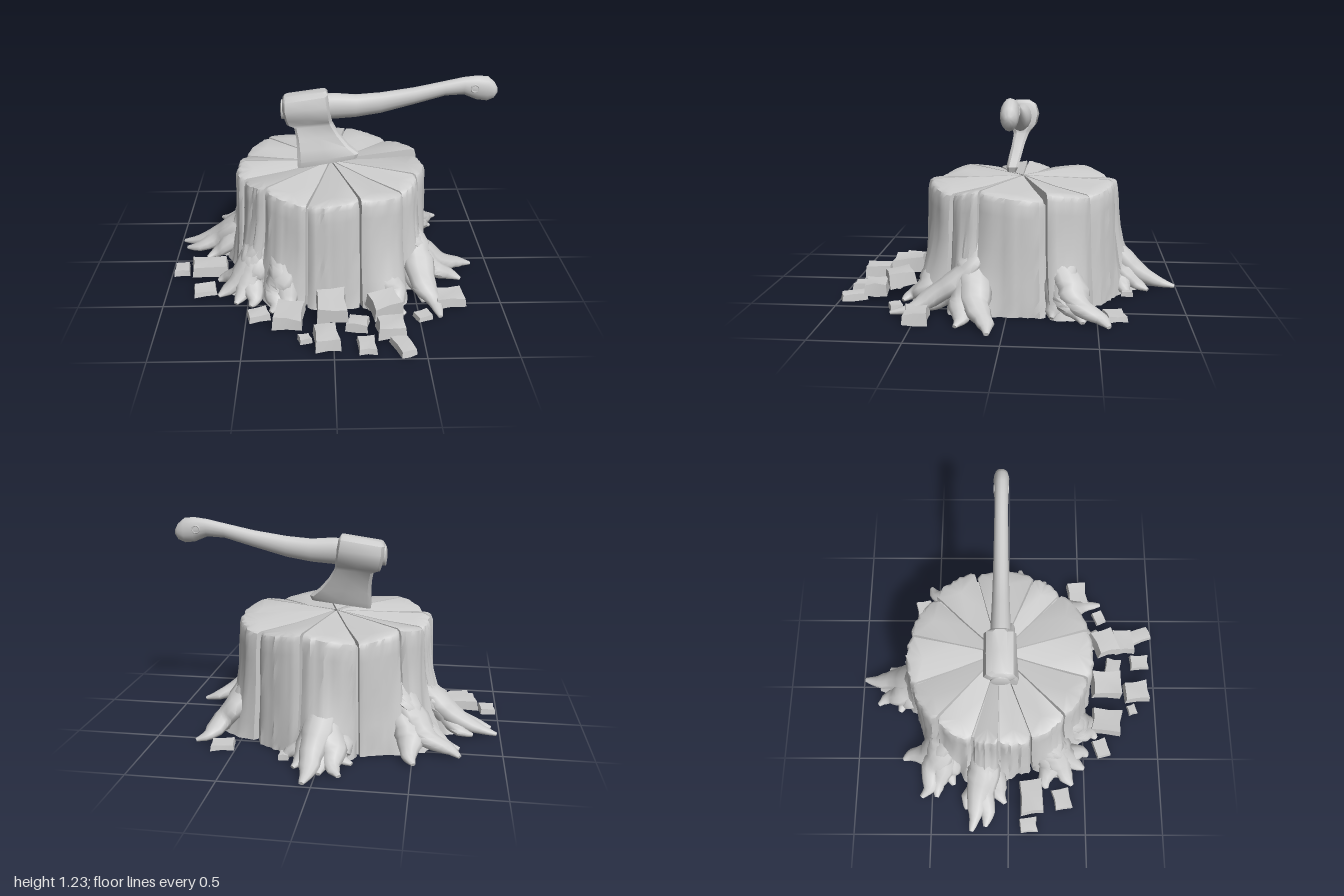
import * as THREE from 'three';
import { toCreasedNormals } from 'three/addons/utils/BufferGeometryUtils.js';

const V = (x, y, z) => new THREE.Vector3(x, y, z);
const CENTRE_Z = -0.055;

// Roots: base x, z, swell of the stump foot, then finger tips x, z
const ROOTS = [
  [0, -0.6, 0.15, [[0.05, -0.99], [-0.13, -0.89], [-0.02, -0.88], [0.13, -0.82], [-0.18, -0.74], [0.2, -0.7]]],
  [-0.44, -0.41, 0.13, [[-0.51, -0.7], [-0.76, -0.57], [-0.76, -0.47], [-0.68, -0.36]]],
  [-0.55, -0.15, 0.18, [[-0.98, -0.24], [-0.95, -0.15], [-0.8, -0.02], [-0.84, -0.27]]],
  [-0.45, 0.27, 0.15, [[-0.68, 0.42], [-0.7, 0.25], [-0.57, 0.5], [-0.48, 0.53]]],
  [-0.28, 0.4, 0.08, [[-0.36, 0.59], [-0.25, 0.6]]],
  [0.28, 0.39, 0.12, [[0.42, 0.62], [0.32, 0.62], [0.22, 0.58]]],
  [0.5, 0.2, 0.12, [[0.89, 0.08], [0.8, 0.26], [0.62, 0.65], [0.54, 0.5]]],
  [0.5, -0.3, 0.09, [[0.75, -0.56], [0.7, -0.42], [0.64, -0.25]]],
];

// Small repeatable noise in -1..1
const noise = (a, b = 0, c = 0) => {
  const s = Math.sin(a * 127.1 + b * 311.7 + c * 74.7) * 43758.5453;
  return (s - Math.floor(s)) * 2 - 1;
};

// Swelling of the stump foot towards each root
function swell(a, y) {
  const rise = Math.max(0, 1 - y / 0.58) ** 2.2;
  return rise * Math.max(...ROOTS.map(([x, z, amount]) => {
    const d = a - Math.atan2(z - CENTRE_Z, x);
    const turn = Math.atan2(Math.sin(d), Math.cos(d)) / 0.21;
    return amount * Math.exp(-turn * turn);
  }));
}

// Skin a list of closed rings, cap both ends, and turn the faces outward
function loft(rings, crease) {
  const n = rings[0].length, pos = [], idx = [];
  rings.forEach(r => r.forEach(p => pos.push(p.x, p.y, p.z)));
  for (let i = 0; i < rings.length - 1; i++)
    for (let j = 0; j < n; j++) {
      const a = i * n + j, b = i * n + (j + 1) % n;
      idx.push(a, a + n, b, b, a + n, b + n);
    }
  [0, rings.length - 1].forEach((r, end) => {
    const c = rings[r].reduce((s, p) => s.add(p), V(0, 0, 0)).divideScalar(n);
    const k = pos.length / 3;
    pos.push(c.x, c.y, c.z);
    for (let j = 0; j < n; j++) {
      const a = r * n + j, b = r * n + (j + 1) % n;
      idx.push(k, end ? b : a, end ? a : b);
    }
  });
  const at = i => V(pos[3 * i], pos[3 * i + 1], pos[3 * i + 2]);
  let volume = 0;
  for (let i = 0; i < idx.length; i += 3)
    volume += at(idx[i]).dot(at(idx[i + 1]).cross(at(idx[i + 2])));
  if (volume < 0) idx.reverse();
  const g = new THREE.BufferGeometry();
  g.setAttribute('position', new THREE.Float32BufferAttribute(pos, 3));
  g.setIndex(idx);
  return toCreasedNormals(g, crease);
}

// One split wedge of the stump between two angles (degrees), its top sloping to one side
function wedge(a0, a1, k) {
  const levels = [[0, 1.04], [0.04, 1.035], [0.1, 1.03], [0.18, 1.02], [0.28, 1.01], [0.38, 1.005],
    [0.48, 1], [0.58, 0.995], [0.65, 0.988], [0.68, 0.972], [0.69, 0.94]];
  const mid = (a0 + a1) / 2, half = (a1 - a0) / 2 - 0.8, n = 12;
  const R = 0.582 + 0.012 * noise(k, 3), slope = k % 2 ? 1 : -1;
  return loft(levels.map(([y, s], l) => {
    const ring = [];
    const point = (r, u) => {
      const a = (mid + u * half) * Math.PI / 180;
      const drop = l > 6 ? 0.02 * (1 + slope * u) * Math.min(1, r / 0.4) : 0;
      const out = r > 0.4 ? r + swell(a, y) : r;
      ring.push(V(Math.cos(a) * out, y - drop, CENTRE_Z + Math.sin(a) * out));
    };
    point(0.015, 0);
    point(0.28, -1);
    for (let j = 0; j <= n; j++) {
      const u = j / n * 2 - 1;
      const bark = 0.006 * noise(k, j) + 0.003 * noise(k, j, l);
      point(R * s * (1 - 0.03 * u ** 6) + bark, u);
    }
    point(0.28, 1);
    return ring;
  }), 0.75);
}

// One root finger leaving the swollen foot and running out along the ground
function rootFinger(bx, bz, tx, tz, k) {
  const B = V(bx, 0, bz), T = V(tx, 0, tz);
  const out = V(bx, 0, bz - CENTRE_Z).normalize();
  const mix = (t, y) => B.clone().lerp(T, t).setY(y);
  const bend = V(-out.z, 0, out.x).multiplyScalar(0.025 * noise(k, 5));
  const path = new THREE.CatmullRomCurve3([
    B.clone().addScaledVector(out, -0.05).setY(0.42), B.clone().setY(0.28),
    mix(0.22, 0.17), mix(0.48, 0.085).add(bend), mix(0.77, 0.035).sub(bend), mix(1, 0.015)]);
  const widths = [0.05, 0.085, 0.095, 0.075, 0.045, 0.014];
  const thick = [0.03, 0.05, 0.065, 0.055, 0.03, 0.01];
  const pick = (list, t) => {
    const i = Math.min(4, Math.floor(t * 5));
    return THREE.MathUtils.lerp(list[i], list[i + 1], t * 5 - i);
  };
  const rings = [];
  for (let i = 0; i <= 15; i++) {
    const t = i / 15, c = path.getPoint(t), d = path.getTangent(t);
    const side = V(d.z, 0, -d.x).normalize(), up = d.clone().cross(side).normalize();
    const w = pick(widths, t) * (1 + 0.1 * noise(i, k)), h = pick(thick, t);
    rings.push(Array.from({ length: 10 }, (_, j) => {
      const a = j / 10 * Math.PI * 2;
      const p = c.clone().addScaledVector(side, Math.cos(a) * w).addScaledVector(up, Math.sin(a) * h);
      return p.setY(Math.max(0, p.y));
    }));
  }
  return loft(rings, 1);
}

// A rough chip of wood with slightly pinched sides
function chip(w, h, d, k) {
  const g = new THREE.BoxGeometry(w, h, d, 2, 1, 2), p = g.attributes.position;
  for (let i = 0; i < p.count; i++) {
    const sx = Math.sign(Math.round(p.getX(i) * 1e4)), sz = Math.sign(Math.round(p.getZ(i) * 1e4));
    const sy = Math.sign(p.getY(i)), corner = sx && sz;
    const f = (corner ? 0.96 : 0.9) + 0.07 * noise(sx + k, sz) - (sy > 0 ? 0.08 : 0);
    p.setXYZ(i, p.getX(i) * f, p.getY(i) * (1 + 0.2 * noise(sx, sz, k)), p.getZ(i) * f);
  }
  return toCreasedNormals(g, 0.5);
}

export function createModel() {
  const model = new THREE.Group();
  const grey = new THREE.MeshStandardMaterial({ color: 0xcccccc });
  grey.name = 'plain grey';
  const group = name => {
    const g = new THREE.Group();
    g.name = name;
    model.add(g);
    return g;
  };
  const add = (parent, name, geometry) => {
    const m = new THREE.Mesh(geometry, grey);
    m.name = name;
    parent.add(m);
    return m;
  };

  // Stump: split wedges around a lower core
  const stump = group('stump');
  const cuts = [-16, 23, 43, 74, 105, 135, 160, 180, 197, 222, 250, 282, 314, 344];
  for (let i = 0; i < cuts.length - 1; i++) add(stump, 'stumpWedge', wedge(cuts[i], cuts[i + 1], i));
  add(stump, 'stumpCore', new THREE.CylinderGeometry(0.53, 0.57, 0.62, 40)).position.set(0, 0.31, CENTRE_Z);

  const roots = group('roots');
  ROOTS.forEach(([bx, bz, , tips], r) => tips.forEach(([tx, tz], i) =>
    add(roots, 'rootFinger', rootFinger(bx, bz, tx, tz, r * 7 + i))));

  // Wood chips: x, z, width, depth, bottom, height, turn
  const chips = group('woodChips');
  [
    [-0.94, 0.13, 0.1, 0.12, 0, 0.04, 0.1], [-0.76, 0.15, 0.24, 0.16, 0.02, 0.06, 0.08],
    [-0.77, 0.35, 0.14, 0.12, 0, 0.03, 0.2], [-0.43, 0.62, 0.13, 0.1, 0, 0.04, 0.3],
    [-0.25, 0.66, 0.17, 0.21, 0.01, 0.07, -0.12], [-0.01, 0.66, 0.18, 0.21, 0.06, 0.09, 0.04],
    [-0.04, 0.87, 0.14, 0.17, 0.01, 0.07, 0.12], [-0.16, 0.84, 0.07, 0.06, 0, 0.03, 0.3],
    [0.14, 0.72, 0.13, 0.11, 0, 0.05, -0.2], [0.29, 0.66, 0.18, 0.16, 0.07, 0.08, 0.35],
    [0.32, 0.8, 0.17, 0.14, 0.02, 0.07, 0.1], [0.18, 0.91, 0.1, 0.13, 0, 0.04, 0.05],
    [0.38, 0.92, 0.1, 0.16, 0, 0.04, 0.35], [0.69, 0.49, 0.18, 0.14, 0, 0.06, 0.1],
    [0.52, 0.64, 0.1, 0.08, 0, 0.03, 0.4], [0.58, -0.6, 0.14, 0.12, 0, 0.03, 0.2],
    [0.2, -0.69, 0.06, 0.07, 0, 0.03, 0],
  ].forEach(([x, z, w, d, y, h, turn], k) => {
    const m = add(chips, 'woodChip', chip(w, h, d, k + 1));
    m.position.set(x, y + h * 0.6, z);
    m.rotation.set(y > 0.05 ? 0.12 : 0, turn, 0);
  });

  // Axe head: left y, right y, left x, right x, left z, right z, half thickness
  const axe = group('axe');
  const head = [
    [1.115, 1.15, -0.275, -0.03, -0.048, -0.048, 0.04], [1.09, 1.13, -0.288, -0.018, -0.048, -0.048, 0.075],
    [1.04, 1.07, -0.288, -0.008, -0.047, -0.047, 0.092], [0.98, 1.0, -0.275, 0.002, -0.045, -0.045, 0.08],
    [0.94, 0.965, -0.262, 0.006, -0.042, -0.042, 0.052], [0.925, 0.945, -0.22, 0.01, -0.036, -0.04, 0.044],
    [0.86, 0.88, -0.207, 0.05, -0.012, -0.025, 0.038], [0.79, 0.81, -0.203, 0.11, 0.012, -0.01, 0.036],
    [0.72, 0.765, -0.203, 0.168, 0.03, 0, 0.034], [0.685, 0.735, -0.2, 0.158, 0.035, 0.005, 0.025],
  ].map(([yl, yr, xl, xr, zl, zr, h]) => [
    [0, -0.6], [0.06, -1], [0.5, -1.02], [0.94, -1], [1, -0.6],
    [1, 0.6], [0.94, 1], [0.5, 1.02], [0.06, 1], [0, 0.6],
  ].map(([u, v]) => V(xl + (xr - xl) * u, yl + (yr - yl) * u, zl + (zr - zl) * u + v * h)));
  add(axe, 'axeHead', loft(head, 0.6));

  // Axe handle: x, bottom y, top y, half thickness
  const keys = [
    [-0.3, 1.0, 1.07, 0.035], [-0.295, 0.97, 1.09, 0.055], [-0.1, 0.97, 1.12, 0.06], [0.02, 0.97, 1.13, 0.058],
    [0.15, 0.98, 1.12, 0.052], [0.3, 1.005, 1.132, 0.047], [0.5, 1.06, 1.162, 0.043], [0.68, 1.112, 1.2, 0.04],
    [0.79, 1.118, 1.224, 0.041], [0.87, 1.085, 1.234, 0.045], [0.93, 1.078, 1.228, 0.046],
    [0.97, 1.095, 1.195, 0.038], [0.99, 1.125, 1.16, 0.016],
  ];
  add(axe, 'axeHandle', loft(keys.map(([x, lo, hi, w]) => Array.from({ length: 16 }, (_, j) => {
    const a = j / 16 * Math.PI * 2;
    return V(x, (lo + hi) / 2 + Math.sin(a) * (hi - lo) / 2, -0.045 + Math.cos(a) * w);
  })), 1));

  // Rim of the lanyard hole on both faces of the handle
  for (const s of [-1, 1])
    add(axe, 'handleHoleRim', new THREE.TorusGeometry(0.022, 0.005, 8, 20)).position.set(0.85, 1.165, -0.045 + s * 0.041);
  return model;
}
